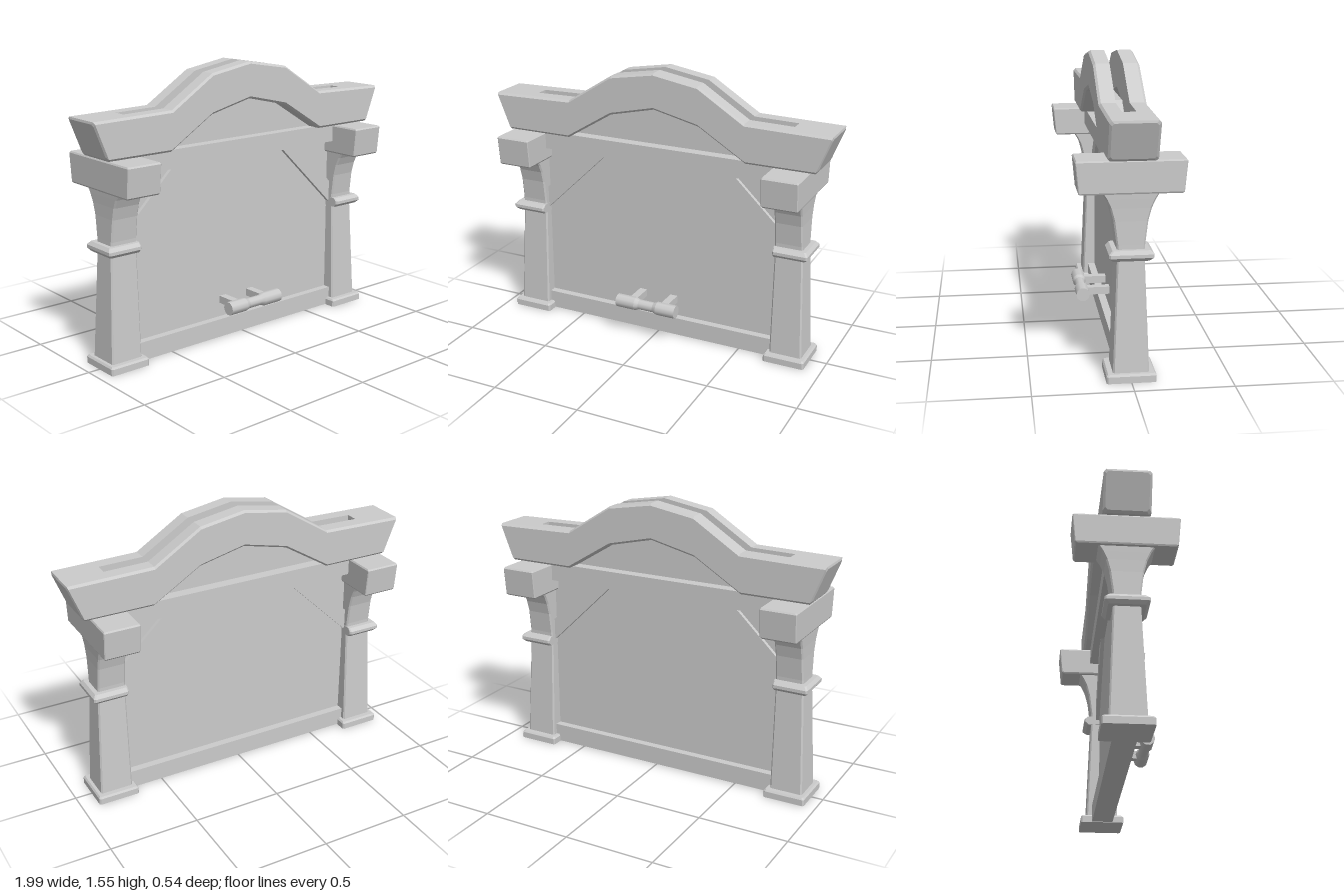
import * as THREE from 'three';

const mat = new THREE.MeshStandardMaterial({ color: 0xcccccc, flatShading: true });
const smoothMat = new THREE.MeshStandardMaterial({ color: 0xcccccc });

function add(parent, name, geometry, material = mat) {
  const mesh = new THREE.Mesh(geometry, material);
  mesh.name = name;
  parent.add(mesh);
  return mesh;
}

// Skin a row of matching rings (counter-clockwise seen from the last ring) and cap both ends
function loft(rings) {
  const out = [];
  const tri = (a, b, c) => out.push(...a, ...b, ...c);
  const n = rings[0].length;
  for (let r = 0; r < rings.length - 1; r++) {
    const a = rings[r], b = rings[r + 1];
    for (let i = 0; i < n; i++) {
      const j = (i + 1) % n;
      tri(a[i], a[j], b[j]);
      tri(a[i], b[j], b[i]);
    }
  }
  const first = rings[0], last = rings[rings.length - 1];
  for (let i = 1; i < n - 1; i++) {
    tri(first[0], first[i + 1], first[i]);
    tri(last[0], last[i], last[i + 1]);
  }
  const g = new THREE.BufferGeometry();
  g.setAttribute('position', new THREE.Float32BufferAttribute(out, 3));
  g.computeVertexNormals();
  return g;
}

// Horizontal rectangle with chamfered corners
function ring([y, x0, x1, h, c = 0.008]) {
  return [
    [x1, h - c], [x1, c - h], [x1 - c, -h], [x0 + c, -h],
    [x0, c - h], [x0, h - c], [x0 + c, h], [x1 - c, h],
  ].map(([x, z]) => [x, y, z]);
}
const stack = rows => loft(rows.map(ring));

function slab(points, depth) {
  const shape = new THREE.Shape(points.map(p => new THREE.Vector2(...p)));
  const g = new THREE.ExtrudeGeometry(shape, { depth, bevelEnabled: false });
  return g.translate(0, 0, -depth / 2);
}

function box(x0, x1, y0, y1, z0, z1) {
  return new THREE.BoxGeometry(x1 - x0, y1 - y0, z1 - z0)
    .translate((x0 + x1) / 2, (y0 + y1) / 2, (z0 + z1) / 2);
}

// Post with foot, collar and wide bracket block; inner side is straight
function makePost() {
  const post = new THREE.Group();
  add(post, 'foot', stack([
    [0.005, 0.685, 0.92, 0.125], [0.04, 0.685, 0.92, 0.125], [0.05, 0.693, 0.912, 0.117],
  ]));
  add(post, 'shaft', stack([
    [0.045, 0.71, 0.895, 0.091], [0.64, 0.71, 0.868, 0.068], [0.7, 0.71, 0.866, 0.07],
    [0.82, 0.71, 0.864, 0.085], [0.885, 0.71, 0.865, 0.102], [0.93, 0.71, 0.867, 0.122],
    [0.965, 0.71, 0.868, 0.144],
  ]));
  add(post, 'collar', stack([
    [0.627, 0.708, 0.89, 0.093], [0.645, 0.708, 0.905, 0.111],
    [0.662, 0.708, 0.905, 0.111], [0.68, 0.708, 0.89, 0.093],
  ]));
  add(post, 'bracketBlock', stack([
    [0.96, 0.695, 0.885, 0.25, 0.004], [0.968, 0.69, 0.889, 0.257, 0.004],
    [1.118, 0.69, 0.89, 0.271, 0.004], [1.126, 0.695, 0.885, 0.265, 0.004],
  ]));
  return post;
}

// One half (z >= 0) of the arched beam, with half of the long slot
function makeBeamHalf() {
  const b = 0.012, depth = 0.122, slot = 0.035;
  // top x, bottom x, top y, bottom y, inner z
  const half = [
    [0, 0, 1.555, 1.355, slot],
    [0.255, 0.26, 1.512, 1.295, slot],
    [0.52, 0.53, 1.345, 1.13, slot],
    [0.765, 0.765, 1.34, 1.13, slot],
    [0.765, 0.765, 1.34, 1.13, 0],
    [0.992, 0.91, 1.336, 1.13, 0],
  ];
  const section = ([xt, xb, t, bot, z0], inset, sx) => {
    const d = depth - inset, top = t - inset, low = bot + inset, shift = inset * 0.6;
    return [[top, z0], [top, d - b], [top - b, d], [low + b, d], [low, d - b], [low, z0]]
      .map(([y, z]) => [sx * (xb + (xt - xb) * (y - bot) / (t - bot) + shift), y, z]);
  };
  const right = half.map(s => section(s, 0, 1));
  const left = half.slice(1).reverse().map(s => section(s, 0, -1));
  const end = half[half.length - 1];
  return loft([section(end, b, -1), ...left, ...right, section(end, b, 1)]);
}

export function createModel() {
  const model = new THREE.Group();
  model.name = 'archedGate';

  // Everything below the beam shares a slightly offset centre line
  const frame = new THREE.Group();
  frame.name = 'frame';
  frame.position.x = -0.015;
  model.add(frame);

  ['leftPost', 'rightPost'].forEach((name, i) => {
    const post = makePost();
    post.name = name;
    post.rotation.y = i * Math.PI;
    frame.add(post);
  });

  // Wall panel rising into the slot of the beam
  add(frame, 'panel', slab([
    [-0.72, 0.01], [0.72, 0.01], [0.72, 1.15], [0.55, 1.17], [0.38, 1.335],
    [-0.38, 1.335], [-0.55, 1.17], [-0.72, 1.15],
  ], 0.036));
  add(frame, 'bottomRail', box(-0.72, 0.72, 0.008, 0.112, -0.06, 0.06));
  add(frame, 'topRail', box(-0.72, 0.72, 1.03, 1.132, -0.08, 0.08));

  // Corner braces
  for (const s of [1, -1]) {
    const pts = [[0.31, 1.04], [0.72, 0.645], [0.72, 0.77], [0.44, 1.04]].map(([x, y]) => [s * x, y]);
    add(frame, s > 0 ? 'leftBrace' : 'rightBrace', slab(pts, 0.08));
  }

  // Arched beam
  ['beamFront', 'beamBack'].forEach((name, i) => {
    add(model, name, makeBeamHalf()).rotation.y = i * Math.PI;
  });

  // Handle on the front, carried by two stubs
  const handle = new THREE.Group();
  handle.name = 'handle';
  model.add(handle);
  const r = 0.038, waist = 0.029;
  const parts = [
    [[0, -0.2], [r, -0.2]], [[r, -0.2], [r, -0.085]], [[r, -0.085], [waist, -0.062]],
    [[waist, -0.062], [waist, 0.027]], [[waist, 0.027], [r, 0.05]],
    [[r, 0.05], [r, 0.165]], [[r, 0.165], [0, 0.165]],
  ];
  for (const p of parts) {
    const g = new THREE.LatheGeometry(p.map(q => new THREE.Vector2(...q)), 10);
    add(handle, 'grip', g.rotateZ(-Math.PI / 2).translate(0, 0.214, 0.173), smoothMat);
  }
  for (const x of [-0.115, 0.08]) {
    add(handle, 'stub', box(x - 0.022, x + 0.022, 0.192, 0.234, 0.01, 0.165));
  }
  return model;
}
